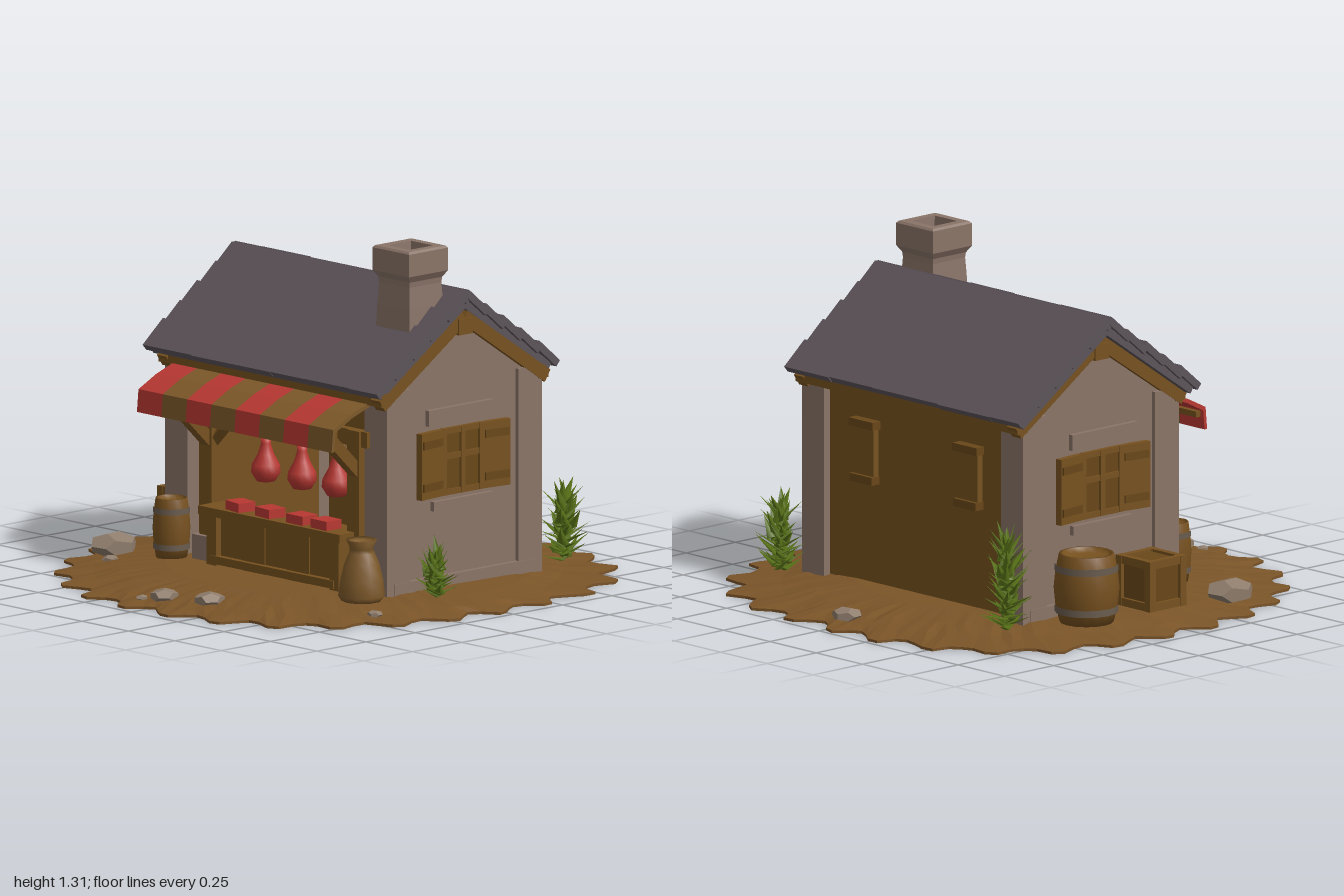
import * as THREE from 'three';
import { mergeGeometries } from 'three/addons/utils/BufferGeometryUtils.js';

const paint = (name, color, side = THREE.FrontSide) => {
  const m = new THREE.MeshStandardMaterial({ color, side });
  m.name = name;
  return m;
};

export function createModel() {
  const M = {
    earth: paint('earth', 0x7a5428),
    wood: paint('wood', 0x77511f),
    darkWood: paint('dark wood', 0x694718),
    stone: paint('stone', 0x8a7468),
    rock: paint('rock', 0x8f7d6c),
    slate: paint('slate', 0x5c5358),
    red: paint('red', 0xb83832),
    cloth: paint('tan cloth', 0x7d592a),
    leaf: paint('leaf', 0x5a7418, THREE.DoubleSide),
    iron: paint('iron', 0x6a5c4e),
  };
  const model = new THREE.Group();
  let seed = 7;
  const rnd = (a, b) => {
    seed = (seed * 16807) % 2147483647;
    return a + (b - a) * (seed / 2147483647);
  };
  const group = (name, x = 0, y = 0, z = 0, parent = model) => {
    const g = new THREE.Group();
    g.name = name;
    g.position.set(x, y, z);
    parent.add(g);
    return g;
  };
  const add = (name, geo, mat, x = 0, y = 0, z = 0, parent = model) => {
    const m = new THREE.Mesh(geo, mat);
    m.name = name;
    m.position.set(x, y, z);
    parent.add(m);
    return m;
  };
  const box = (name, mat, w, h, d, x, y, z, parent = model) =>
    add(name, new THREE.BoxGeometry(w, h, d), mat, x, y, z, parent);
  // square bar between two points
  const bar = (name, mat, a, b, t, parent = model) => {
    const p = new THREE.Vector3(...a), q = new THREE.Vector3(...b);
    const m = box(name, mat, t, t, p.distanceTo(q), 0, 0, 0, parent);
    m.position.copy(p).lerp(q, 0.5);
    m.quaternion.setFromUnitVectors(new THREE.Vector3(0, 0, 1), q.sub(p).normalize());
    return m;
  };
  const shape = pts => new THREE.Shape(pts.map(p => new THREE.Vector2(...p)));
  const lathe = (name, pts, mat, x, y, z, parent = model, seg = 16) =>
    add(name, new THREE.LatheGeometry(pts.map(p => new THREE.Vector2(...p)), seg), mat, x, y, z, parent);

  // ground: low mound with a rim of blunt teeth and concave notches
  const tooth = [0.975, 0.97, 0.925, 0.9, 0.925], N = 27 * tooth.length, pos = [], idx = [], rim = [];
  const rings = [[0.001, 0.058], [0.62, 0.058], [0.8, 0.042], [0.9, 0.026], [1, 0.014], [1, 0.004], [0.6, 0.012], [0.001, 0.012]];
  for (let i = 0; i < N; i++) {
    const a = (i / N) * Math.PI * 2;
    const corner = Math.sin(2 * a) ** 2 * (Math.sin(a) < 0 ? 0.1 : 0.035);
    rim.push(tooth[i % tooth.length] + corner + rnd(-0.01, 0.01));
  }
  rings.forEach(([r, y], j) => {
    for (let i = 0; i < N; i++) {
      const a = (i / N) * Math.PI * 2, s = r * (r > 0.95 ? rim[i] : 0.96);
      pos.push(s * Math.cos(a), y + (j === 2 || j === 3 ? rnd(-0.004, 0.006) : 0), s * Math.sin(a) * 1.01);
      if (j) {
        const n = (i + 1) % N, p = (j - 1) * N, q = j * N;
        idx.push(p + i, p + n, q + i, p + n, q + n, q + i);
      }
    }
  });
  let ground = new THREE.BufferGeometry();
  ground.setAttribute('position', new THREE.Float32BufferAttribute(pos, 3));
  ground.setIndex(idx);
  ground = ground.toNonIndexed();
  ground.computeVertexNormals();
  add('ground', ground, M.earth);

  // house, centred under its ridge
  const house = group('house', 0.025, 0, -0.108);
  const gable = shape([[-0.38, 0.03], [0.38, 0.03], [0.38, 0.82], [0, 1.06], [-0.38, 0.82]]);
  const gableGeo = new THREE.ExtrudeGeometry(gable, { depth: 0.09, bevelEnabled: false });
  for (const s of [-1, 1]) {
    const side = group(s > 0 ? 'leftSide' : 'rightSide', 0, 0, 0, house);
    const wall = add('gableWall', gableGeo, M.stone, s > 0 ? 0.49 : -0.58, 0, 0, side);
    wall.rotation.y = Math.PI / 2;
    box('innerLining', M.wood, 0.01, 0.78, 0.66, s * 0.483, 0.43, 0, side);
    for (const z of [-1, 1])
      box('cornerPillar', M.stone, 0.12, 0.816, 0.12, s * 0.537, 0.412, z * 0.335, side);
    box('footing', M.stone, 0.1, 0.07, 0.72, s * 0.55, 0.06, 0, side);
    // window with open shutters
    const win = group('sideWindow', s * 0.575, 0.52, 0.008, side);
    box('lintel', M.stone, 0.05, 0.06, 0.33, 0, 0.175, 0.01, win);
    box('sill', M.stone, 0.05, 0.035, 0.3, 0, -0.16, 0, win);
    box('pane', M.darkWood, 0.03, 0.24, 0.2, 0, 0, 0, win);
    for (const z of [-0.095, 0, 0.095]) box('mullion', M.wood, 0.05, 0.25, 0.022, 0, 0, z, win);
    for (const y of [-0.115, 0.02, 0.115]) box('crossbar', M.wood, 0.045, 0.022, 0.2, 0, y, 0, win);
    for (const z of [-1, 1]) {
      const sh = group('shutter', s * 0.02, 0, z * 0.165, win);
      sh.rotation.y = s * z * 0.12;
      box('board', M.wood, 0.025, 0.25, 0.125, 0, 0, 0, sh);
      for (const y of [-0.08, 0.08]) box('batten', M.darkWood, 0.036, 0.03, 0.11, 0, y, 0, sh);
    }
    // gable rafters and purlin end
    for (const z of [-1, 1])
      bar('rafter', M.wood, [s * 0.575, 1.055, 0], [s * 0.575, 0.775, z * 0.42], 0.05, side);
    box('ridgeBeamEnd', M.wood, 0.07, 0.06, 0.07, s * 0.57, 1.02, 0, side);
  }
  box('backWall', M.wood, 1.0, 0.78, 0.04, 0, 0.44, -0.345, house);
  box('floor', M.wood, 1.0, 0.03, 0.68, 0, 0.05, 0, house);
  box('frontHeader', M.wood, 1.0, 0.2, 0.04, 0, 0.73, 0.355, house);
  for (const z of [-0.4, 0.4]) box('eaveBeam', M.wood, 1.2, 0.05, 0.05, 0, 0.795, z, house);
  box('doorPanel', M.wood, 0.12, 0.6, 0.03, -0.42, 0.35, 0.32, house);
  for (const x of [-0.29, 0.27]) {
    const sh = group('backShutter', x, 0.55, -0.375, house);
    box('board', M.wood, 0.11, 0.22, 0.03, 0, 0, 0, sh);
    box('hood', M.darkWood, 0.13, 0.03, 0.05, 0, 0.11, -0.005, sh);
    box('ledge', M.darkWood, 0.12, 0.03, 0.05, 0, -0.1, -0.005, sh);
  }

  // roof: overlapping rows of uneven slates on two slopes
  const roof = group('roof', 0.01, 1.135, -0.108);
  for (const s of [0, 1]) {
    const turn = group('roofSide', 0, 0, 0, roof);
    turn.rotation.y = s * Math.PI;
    const slope = group('slope', 0, 0, 0, turn);
    slope.rotation.x = 0.6;
    box('underlay', M.slate, 1.23, 0.03, 0.54, 0, -0.025, 0.27, slope);
    for (let r = 0; r < 5; r++) {
      let x = -0.63;
      while (x < 0.629) {
        let w = rnd(0.13, 0.28);
        if (x + w > 0.55) w = 0.63 - x;
        const t = box('slate', M.slate, w, 0.028, 0.135, x + w / 2, 0.002 + rnd(-0.003, 0.003), 0.06 + r * 0.107 + rnd(-0.004, 0.004), slope);
        t.rotation.x = 0.1;
        x += w;
      }
    }
  }
  bar('ridgeCap', M.slate, [-0.625, -0.006, 0], [0.625, -0.006, 0], 0.035, roof).rotateZ(Math.PI / 4);

  // chimney: waisted shaft and hollow cap
  const flue = [[0.13, -0.05], [0.122, 0.1], [0.115, 0.18], [0.118, 0.2], [0.14, 0.225], [0.14, 0.31], [0.13, 0.318], [0.085, 0.318], [0.08, 0.26], [0.001, 0.26]];
  const cg = new THREE.LatheGeometry(flue.map(p => new THREE.Vector2(...p)), 4).toNonIndexed();
  cg.computeVertexNormals();
  add('chimney', cg, M.stone, 0.46, 1.0, 0.015).rotation.y = Math.PI / 4;

  // striped awning: sloped top with a hanging front flap
  const awning = group('awning');
  const strip = shape([[-0.27, 0.79], [-0.4, 0.745], [-0.49, 0.7], [-0.498, 0.615], [-0.485, 0.615], [-0.478, 0.688], [-0.395, 0.73], [-0.27, 0.775]]);
  const stripGeo = new THREE.ExtrudeGeometry(strip, { depth: 0.131, bevelEnabled: false });
  for (let i = 0; i < 8; i++)
    add('awningStripe', stripGeo, i % 2 ? M.cloth : M.red, -0.5 + i * 0.131, 0, 0, awning).rotation.y = Math.PI / 2;
  bar('awningRail', M.wood, [-0.49, 0.675, 0.462], [0.53, 0.675, 0.462], 0.022, awning);

  // front posts, stone feet and braces
  for (const [x, s] of [[-0.33, 1], [0.465, -1]]) {
    const post = group('frontPost', x, 0, 0.28);
    box('upright', M.wood, 0.065, 0.6, 0.06, 0, 0.36, 0, post);
    box('postFoot', M.stone, 0.1, 0.1, 0.1, 0, 0.1, 0, post);
    bar('brace', M.wood, [0, 0.49, 0], [s * 0.14, 0.63, 0], 0.035, post);
    bar('awningStrut', M.wood, [0, 0.5, 0.01], [0, 0.675, 0.19], 0.045, post);
  }
  bar('topBeam', M.wood, [-0.46, 0.63, 0.27], [0.53, 0.63, 0.27], 0.06);

  // counter with cuts of meat
  const counter = group('counter', 0.09, 0, 0.31);
  box('top', M.wood, 0.76, 0.032, 0.15, 0, 0.262, 0, counter);
  for (let i = 0; i < 5; i++)
    box('frontBoard', M.wood, 0.118, 0.2, 0.02, -0.24 + i * 0.12, 0.15, 0.025 + (i % 2) * 0.004, counter);
  for (const x of [-0.33, 0.33]) box('leg', M.wood, 0.05, 0.2, 0.11, x, 0.15, 0, counter);
  box('lowerRail', M.wood, 0.66, 0.03, 0.03, 0, 0.08, 0.045, counter);
  for (const x of [-0.21, -0.05, 0.12, 0.25])
    box('meatCut', M.red, 0.09, 0.035, 0.075, x, 0.295, 0.02, counter).rotation.y = rnd(-0.3, 0.3);

  // hanging hams
  for (const x of [-0.06, 0.135, 0.32]) {
    const ham = group('ham', x, 0.38, 0.258);
    lathe('meat', [[0.001, 0], [0.035, 0.008], [0.055, 0.04], [0.052, 0.07], [0.03, 0.11], [0.018, 0.15], [0.02, 0.165], [0.001, 0.17]], M.red, 0, 0, 0, ham);
    add('hook', new THREE.CylinderGeometry(0.006, 0.006, 0.1, 6), M.iron, 0, 0.21, 0, ham);
  }

  // barrels with iron hoops
  for (const [x, z, r, h] of [[-0.72, -0.32, 0.122, 0.26], [-0.46, 0.36, 0.07, 0.225]]) {
    const b = group('barrel', x, 0.055, z);
    lathe('staves', [[0.001, 0], [r * 0.82, 0], [r * 0.95, h * 0.25], [r, h * 0.5], [r * 0.95, h * 0.75], [r * 0.84, h], [r * 0.74, h], [r * 0.72, h * 0.92], [0.001, h * 0.92]], M.wood, 0, 0, 0, b);
    for (const t of [0.2, 0.8])
      add('hoop', new THREE.CylinderGeometry(r * 0.97, r * 0.97, h * 0.1, 16, 1, true), M.iron, 0, h * t, 0, b);
  }

  // crate
  const crate = group('crate', -0.69, 0.15, 0.035);
  box('body', M.darkWood, 0.155, 0.17, 0.155, 0, 0, 0, crate);
  for (const y of [-0.08, 0.08])
    for (const s of [-1, 1]) {
      box('slat', M.wood, 0.18, 0.03, 0.025, 0, y, s * 0.078, crate);
      box('slat', M.wood, 0.025, 0.03, 0.18, s * 0.078, y, 0, crate);
    }
  for (const x of [-1, 1]) for (const z of [-1, 1]) box('cratePost', M.wood, 0.03, 0.19, 0.03, x * 0.078, 0, z * 0.078, crate);

  // squat sack with a gathered neck
  lathe('sack', [[0.001, 0], [0.075, 0], [0.088, 0.02], [0.08, 0.08], [0.065, 0.14], [0.048, 0.18], [0.042, 0.195], [0.058, 0.23], [0.04, 0.222], [0.001, 0.2]], M.cloth, 0.59, 0.05, 0.385, model, 10);

  // half-sunk rocks
  for (const [x, z, r] of [[0, -0.86, 0.058], [-0.75, 0.38, 0.095], [0, 0.83, 0.055], [0.18, 0.77, 0.06], [0.74, 0.46, 0.03], [-0.66, 0.48, 0.035], [-0.08, 0.87, 0.025]]) {
    const k = add('rock', new THREE.DodecahedronGeometry(r), M.rock, x, r * 0.5 + 0.015, z);
    k.scale.y = 0.5;
    k.rotation.y = rnd(0, 3);
  }

  // leafy plants: flat pointed blades stacked up a stem
  for (const [x, z, h, r, n] of [[-0.64, -0.65, 0.39, 0.125, 75], [0.62, -0.62, 0.3, 0.11, 60], [0.79, 0.2, 0.2, 0.095, 50]]) {
    const blades = [];
    for (let i = 0; i < n; i++) {
      const t = i / n, len = r * rnd(0.75, 1.05);
      const g = new THREE.ConeGeometry(0.024, len, 4);
      g.scale(1, 1, 0.25);
      g.translate(0, len / 2, 0);
      g.rotateX(1.25 - t * 0.75 + rnd(-0.3, 0.2));
      g.rotateY(i * 2.4);
      g.translate(rnd(-0.02, 0.02), 0.04 + t * (h - r * 0.7), rnd(-0.02, 0.02));
      blades.push(g);
    }
    add('plant', mergeGeometries(blades), M.leaf, x, 0.03, z);
  }
  return model;
}
